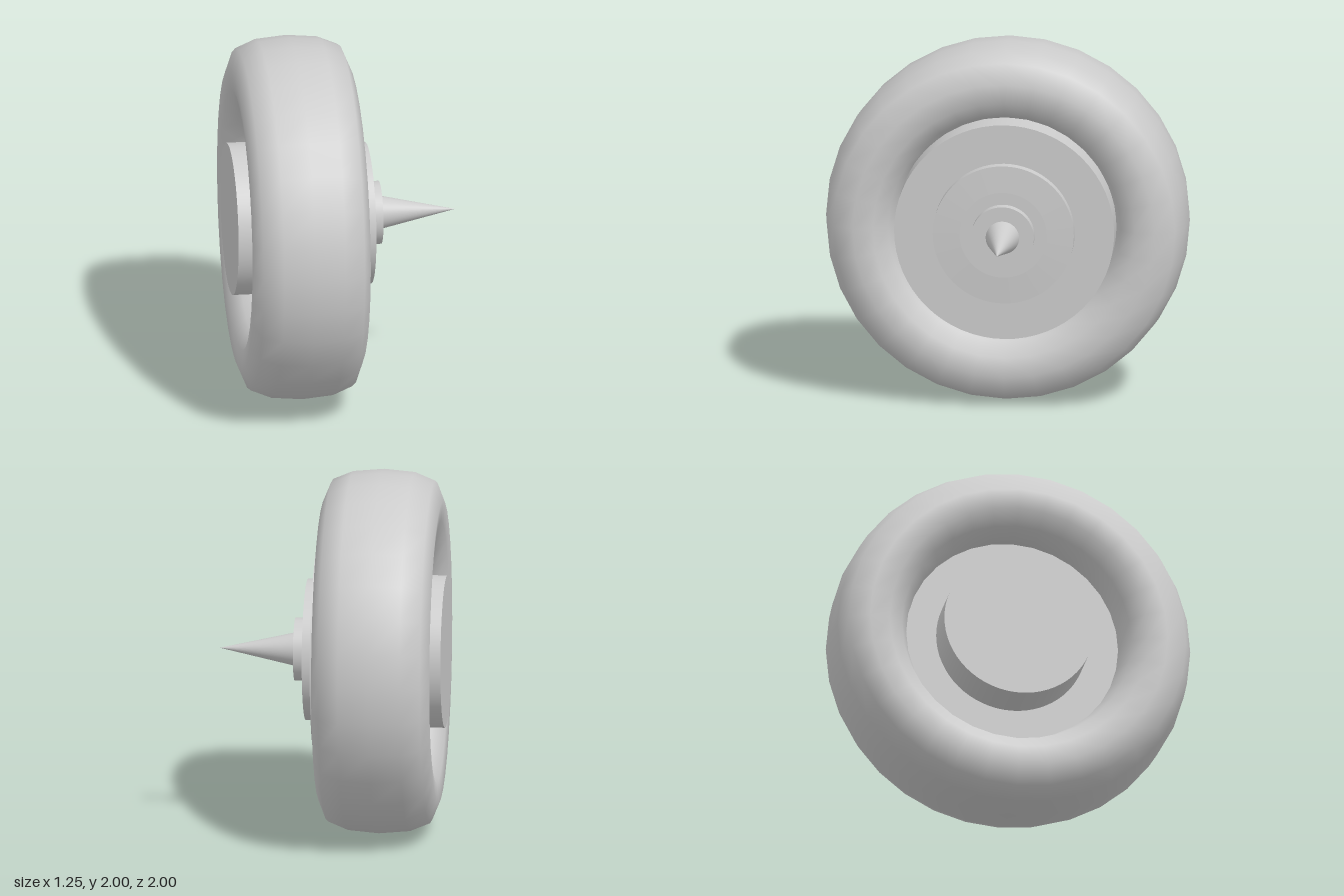
import * as THREE from 'three';

const material = new THREE.MeshStandardMaterial({ color: 0xcccccc });

export function createModel() {
  const wheel = new THREE.Group();
  wheel.name = 'wheel';

  // All parts are turned about the x axis
  function add(name, geometry, x = 0, y = 1.004, z = -0.005) {
    geometry.rotateZ(-Math.PI / 2);
    const mesh = new THREE.Mesh(geometry, material);
    mesh.name = name;
    mesh.position.set(x, y, z);
    wheel.add(mesh);
  }

  // Cylinder between two x positions; the front may taper
  function disc(name, x0, x1, radius, frontRadius = radius) {
    add(name, new THREE.CylinderGeometry(frontRadius, radius, x1 - x0, 64), (x0 + x1) / 2);
  }

  // Tyre: half of the closed section, mirrored across its middle plane
  const half = [[1, 0], [0.985, 0.17], [0.94, 0.28], [0.83, 0.325], [0.72, 0.315], [0.64, 0.25], [0.595, 0.14], [0.58, 0]];
  const mirrored = half.slice(1, -1).reverse().map(([r, x]) => [r, -x]);
  const section = [half[7], ...mirrored, ...half];
  add('tyre', new THREE.LatheGeometry(section.map(([r, x]) => new THREE.Vector2(r, x)), 32), -0.275, 1, 0);

  // Wheel body and stepped front plates
  disc('rimDisc', -0.39, 0.075, 0.605);
  disc('middlePlate', 0.07, 0.135, 0.388);
  disc('middlePlateFace', 0.135, 0.143, 0.388, 0.24);
  disc('centreCap', 0.13, 0.2, 0.173);
  disc('rearHub', -0.63, -0.38, 0.418);

  // Spike on the centre cap
  add('spike', new THREE.ConeGeometry(0.092, 0.415, 48), 0.4075);

  return wheel;
}
